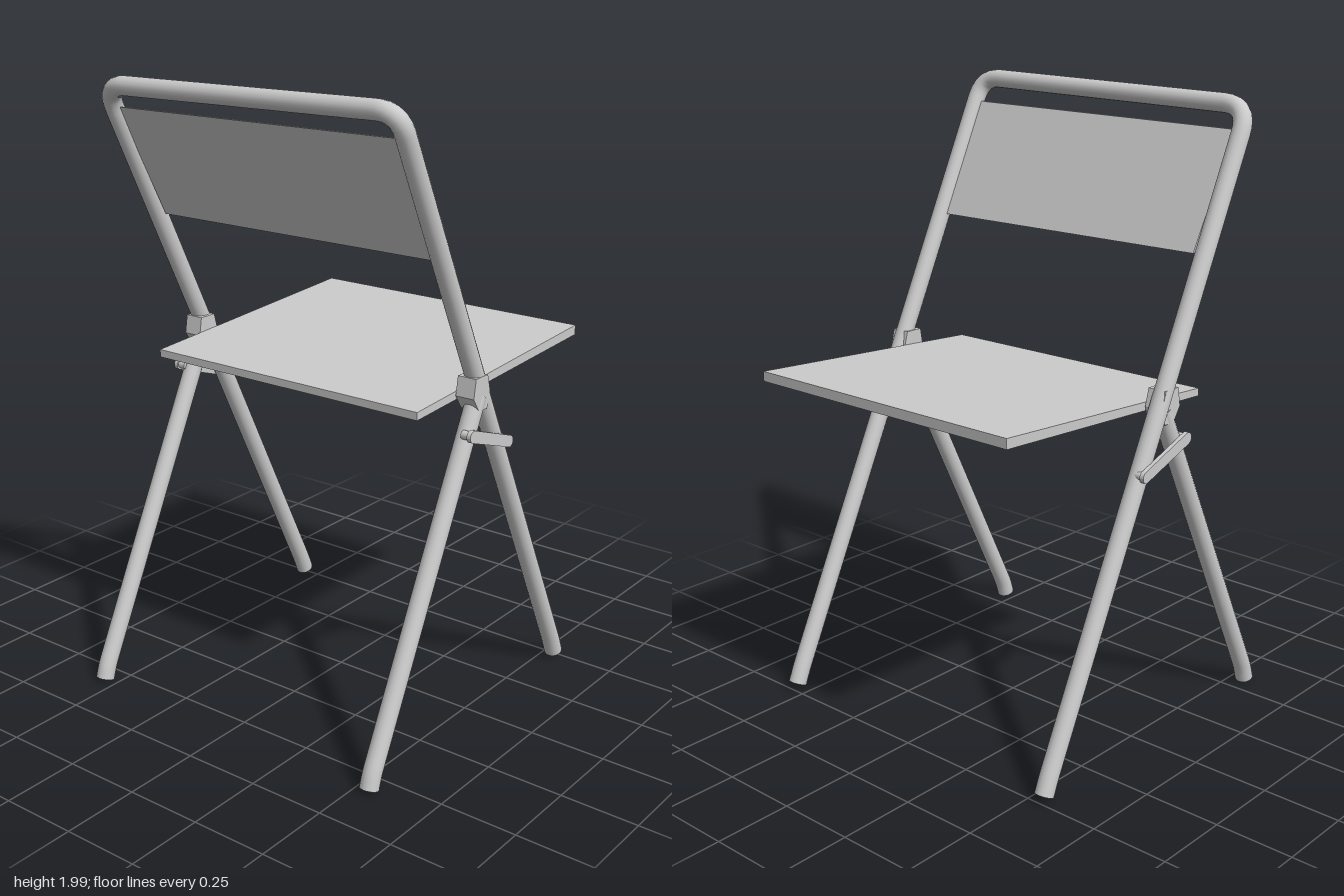
import * as THREE from 'three';

const grey = new THREE.MeshStandardMaterial({ color: 0xcccccc });
const R = 0.03;
const V = (x, y, z) => new THREE.Vector3(x, y, z);
// depth of the raked back frame at a given height
const rakeZ = (y) => 0.457 + 0.486 * (y - 1.97);

function add(parent, name, geometry) {
  const mesh = new THREE.Mesh(geometry, grey);
  mesh.name = name;
  parent.add(mesh);
  return mesh;
}

// Capped round tube through corner points, each corner rounded by its bend size
function addTube(parent, name, points, bends, segments) {
  const path = new THREE.CurvePath();
  let from = points[0];
  for (let i = 1; i < points.length - 1; i++) {
    const p = points[i];
    const a = p.clone().add(points[i - 1].clone().sub(p).setLength(bends[i - 1]));
    const b = p.clone().add(points[i + 1].clone().sub(p).setLength(bends[i - 1]));
    path.add(new THREE.LineCurve3(from, a));
    path.add(new THREE.QuadraticBezierCurve3(a, p, b));
    from = b;
  }
  const last = points[points.length - 1];
  path.add(new THREE.LineCurve3(from, last));
  const group = new THREE.Group();
  group.name = name;
  parent.add(group);
  add(group, name + 'Tube', new THREE.TubeGeometry(path, segments, R, 16));
  const ends = [[points[0], points[1]], [last, points[points.length - 2]]];
  for (const [end, inner] of ends) {
    const cap = add(group, name + 'Cap', new THREE.CircleGeometry(R, 16));
    cap.position.copy(end);
    cap.quaternion.setFromUnitVectors(V(0, 0, 1), end.clone().sub(inner).normalize());
  }
}

// Side profile given as [z, y], extruded across x and centred on x = 0
function sideProfile(points, width) {
  const shape = new THREE.Shape(points.map(([z, y]) => new THREE.Vector2(z, y)));
  const g = new THREE.ExtrudeGeometry(shape, { depth: width, bevelEnabled: false });
  return g.translate(0, 0, -width / 2).rotateY(-Math.PI / 2);
}

// Flat bar with round ends between two [z, y] points
function roundBar([z0, y0], [z1, y1], r, width) {
  const angle = Math.atan2(y1 - y0, z1 - z0);
  const pts = [];
  for (let i = 0; i <= 16; i++) {
    const second = i > 8;
    const t = angle + Math.PI / 2 + ((second ? i - 9 : i) / 8) * Math.PI + (second ? Math.PI : 0);
    pts.push([(second ? z1 : z0) + r * Math.cos(t), (second ? y1 : y0) + r * Math.sin(t)]);
  }
  return sideProfile(pts, width);
}

export function createModel() {
  const chair = new THREE.Group();
  chair.name = 'foldingChair';

  // One bent tube: both long legs and the slightly tilted top rail
  addTube(chair, 'backFrame', [
    V(-0.548, 0.03, -0.482), V(-0.548, 0.08, rakeZ(0.08)),
    V(-0.548, 1.955, rakeZ(1.955)), V(0.542, 1.972, rakeZ(1.972)),
    V(0.542, 0.08, rakeZ(0.08)), V(0.542, 0.03, -0.482),
  ], [0.02, 0.09, 0.075, 0.02], 260);

  // Seat board, rising gently towards its free edge
  add(chair, 'seat', sideProfile(
    [[0.3, 1.07], [0.3, 1.095], [-0.597, 1.15], [-0.597, 1.118]], 1.01));

  // Thin back panel lying in the plane of the frame
  const panelShape = new THREE.Shape([
    new THREE.Vector2(-0.51, 1.53), new THREE.Vector2(0.515, 1.53),
    new THREE.Vector2(0.515, 1.895), new THREE.Vector2(-0.525, 1.885),
  ]);
  const panel = new THREE.ExtrudeGeometry(panelShape, { depth: 0.008, bevelEnabled: false });
  const pos = panel.attributes.position;
  for (let i = 0; i < pos.count; i++) pos.setZ(i, pos.getZ(i) - 0.004 + rakeZ(pos.getY(i)));
  panel.computeVertexNormals();
  add(chair, 'backPanel', panel);

  for (const side of [-1, 1]) {
    const x = side * 0.545;
    const prefix = side > 0 ? 'left' : 'right';

    // Short leg, hinged to the back frame
    addTube(chair, prefix + 'ShortLeg', [
      V(x, 0.017, 0.573), V(x, 0.06, 0.56), V(x, 1.09, 0.05),
    ], [0.02], 50);

    // Hinge bracket joining frame, leg and seat
    const bracket = add(chair, prefix + 'HingeBracket', sideProfile([
      [0.098, 1.155], [0.035, 1.155], [0.02, 1.1], [0.035, 1.05], [0.078, 1.05], [0.108, 1.095],
    ], 0.064));
    bracket.position.x = side * 0.54;

    // Hinge pin into the seat edge
    const pin = add(chair, prefix + 'SeatPin', new THREE.CylinderGeometry(0.012, 0.012, 0.06, 12).rotateZ(Math.PI / 2));
    pin.position.set(side * 0.51, 1.085, 0.06);

    // Locking link outside the tubes, with a rivet at each end
    const ends = [[0.13, 0.99], [-0.072, 0.918]];
    const link = add(chair, prefix + 'LockingLink', roundBar(ends[0], ends[1], 0.019, 0.014));
    link.position.x = side * 0.583;
    for (const [z, y] of ends) {
      const rivet = add(chair, prefix + 'LinkRivet', new THREE.CylinderGeometry(0.014, 0.014, 0.035, 12).rotateZ(Math.PI / 2));
      rivet.position.set(side * 0.569, y, z);
    }
  }
  return chair;
}
